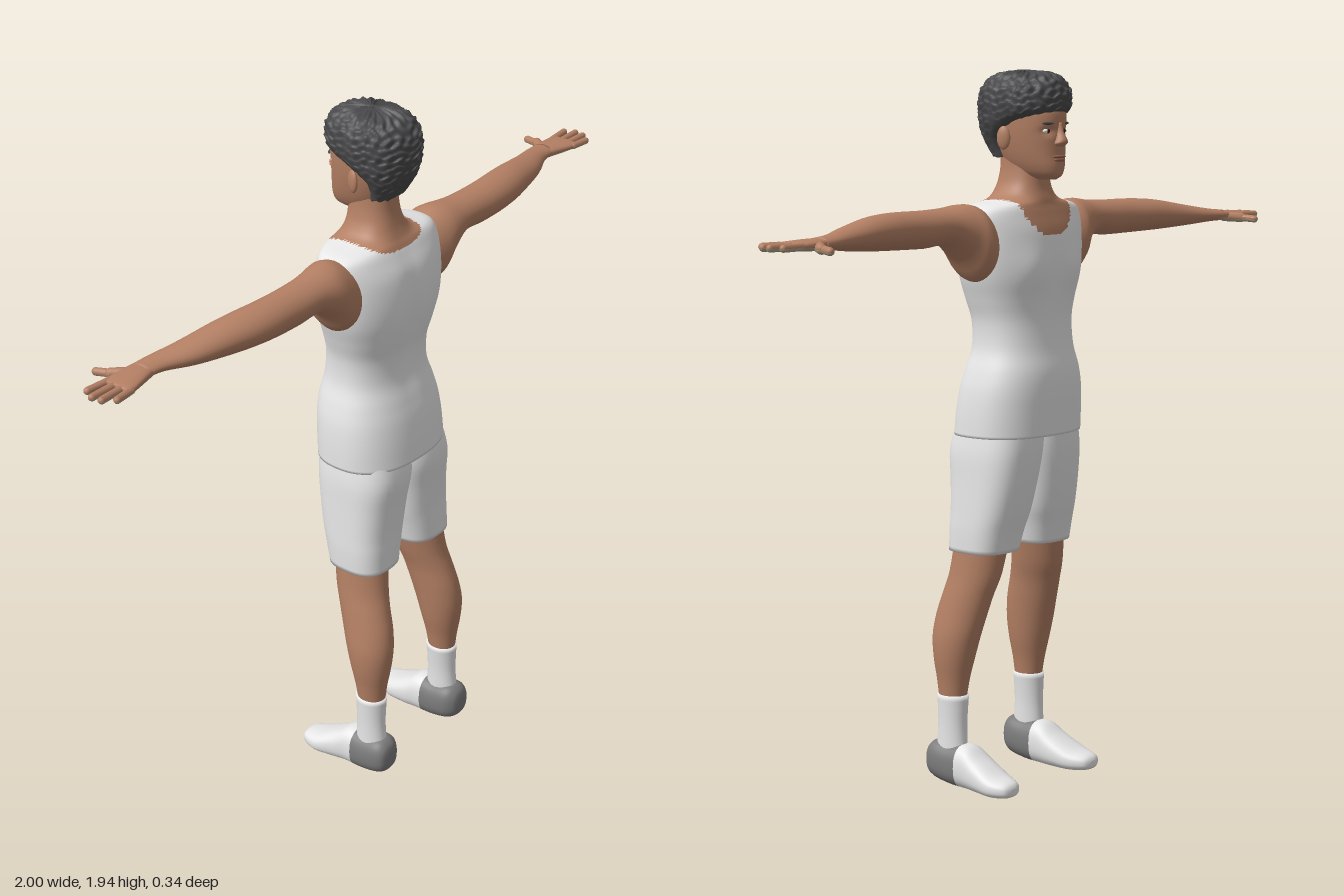
import * as THREE from 'three';

const paint = (name, color) => Object.assign(new THREE.MeshStandardMaterial({ color }), { name });
const skin = paint('skin', 0xb48064);
const palmSkin = paint('palm skin', 0xb3a28a);
const lipSkin = paint('lips', 0x94604e);
const hairMat = paint('hair', 0x49494b);
const shirtMat = paint('shirt white', 0xeeeeee);
const shortsMat = paint('shorts white', 0xe6e6e6);
const heelMat = paint('shoe heel grey', 0x7c7c7c);
const eyeWhite = paint('eye white', 0xe8e4de);
const iris = paint('iris', 0x2b1d16);

// Ring axes: t runs along the loft, u and v span each cross-section
const UP = (t, u, v) => [u, t, v];
const ALONG_X = (t, u, v) => [t, v, u];
const ALONG_Z = (t, u, v) => [v, u, t];

// Smooth closed loft through keys [t, uMin, uMax, vMin, vMax]
function loft(keys, axes, { power = 2, seg = 32, sub = 4, warp } = {}) {
  const at = i => keys[Math.min(Math.max(i, 0), keys.length - 1)];
  const spline = (i, f, k) => {
    const [a, b, c, d] = [at(i - 1)[k], at(i)[k], at(i + 1)[k], at(i + 2)[k]];
    return b + 0.5 * f * (c - a + f * (2 * a - 5 * b + 4 * c - d + f * (3 * (b - c) + d - a)));
  };
  const bend = c => Math.sign(c) * Math.abs(c) ** (2 / power);
  const pos = [], index = [], rows = (keys.length - 1) * sub;
  const push = p => pos.push(...(warp ? warp(...p) : p));
  const centers = [];
  for (let r = 0; r <= rows; r++) {
    const i = Math.min(Math.floor(r / sub), keys.length - 2), f = r / sub - i;
    const [t, u0, u1, v0, v1] = [0, 1, 2, 3, 4].map(k => spline(i, f, k));
    for (let s = 0; s < seg; s++) {
      const a = (s / seg) * Math.PI * 2;
      push(axes(t, (u0 + u1) / 2 + (u1 - u0) / 2 * bend(Math.cos(a)),
        (v0 + v1) / 2 + (v1 - v0) / 2 * bend(Math.sin(a))));
    }
    if (r === 0 || r === rows) centers.push(axes(t, (u0 + u1) / 2, (v0 + v1) / 2));
  }
  centers.forEach(push);
  const bottom = (rows + 1) * seg, last = rows * seg;
  for (let s = 0; s < seg; s++) {
    const n = (s + 1) % seg;
    for (let r = 0; r < rows; r++) {
      const a = r * seg + s, b = r * seg + n;
      index.push(a, a + seg, b, b, a + seg, b + seg);
    }
    index.push(bottom, s, n, bottom + 1, last + n, last + s);
  }
  const geo = new THREE.BufferGeometry();
  geo.setAttribute('position', new THREE.Float32BufferAttribute(pos, 3));
  geo.setIndex(index);
  geo.computeVertexNormals();
  return geo;
}

// Sort faces into two material groups by a rule on face centre and normal
function split(geo, rule) {
  const lists = [[], []], idx = geo.index.array, p = geo.attributes.position;
  const tri = new THREE.Triangle(), mid = new THREE.Vector3(), nor = new THREE.Vector3();
  for (let i = 0; i < idx.length; i += 3) {
    const f = [idx[i], idx[i + 1], idx[i + 2]];
    tri.setFromAttributeAndIndices(p, ...f);
    tri.getMidpoint(mid);
    tri.getNormal(nor);
    lists[rule(mid, nor) ? 1 : 0].push(...f);
  }
  geo.setIndex([...lists[0], ...lists[1]]);
  geo.clearGroups();
  geo.addGroup(0, lists[0].length, 0);
  geo.addGroup(lists[0].length, lists[1].length, 1);
  return geo;
}

function mirrored(geo) {
  const g = geo.clone().scale(-1, 1, 1), a = g.index.array;
  for (let i = 0; i < a.length; i += 3) [a[i], a[i + 1]] = [a[i + 1], a[i]];
  g.computeVertexNormals();
  return g;
}

const sym = keys => keys.map(([y, w, z0, z1]) => [y, -w, w, z0, z1]);
const ball = (x, y, z, rx, ry, rz) => new THREE.SphereGeometry(1, 20, 14).scale(rx, ry, rz).translate(x, y, z);

// Tapered digit between two points
function digit(from, to, r) {
  const a = new THREE.Vector3(...from), b = new THREE.Vector3(...to), d = b.clone().sub(a);
  const q = new THREE.Quaternion().setFromUnitVectors(new THREE.Vector3(0, 1, 0), d.clone().normalize());
  return new THREE.CapsuleGeometry(r, d.length() - 2 * r, 5, 12)
    .applyQuaternion(q).translate(...a.add(b).multiplyScalar(0.5).toArray());
}

export function createModel() {
  const model = new THREE.Group();
  model.name = 'standingMan';
  const add = (name, geo, mat) => {
    const m = new THREE.Mesh(geo, mat);
    m.name = name;
    model.add(m);
  };
  const pair = (name, geo, mat) => {
    add(name + 'Left', geo, mat);
    add(name + 'Right', mirrored(geo), mat);
  };

  // Torso: sleeveless shirt with a scooped neckline, running into the neck
  const bump = (x, y, cx, cy, rx, ry) => Math.exp(-(((Math.abs(x) - cx) / rx) ** 2) - ((y - cy) / ry) ** 2);
  const torso = loft(sym([
    [0.975, 0.19, -0.135, 0.142], [1.04, 0.188, -0.138, 0.135], [1.1, 0.182, -0.14, 0.125],
    [1.15, 0.17, -0.137, 0.112], [1.21, 0.152, -0.125, 0.096], [1.28, 0.152, -0.118, 0.095],
    [1.34, 0.168, -0.12, 0.108], [1.4, 0.187, -0.125, 0.118], [1.46, 0.197, -0.127, 0.118],
    [1.52, 0.201, -0.122, 0.108], [1.565, 0.2, -0.108, 0.088], [1.588, 0.175, -0.1, 0.076],
    [1.605, 0.1, -0.096, 0.066], [1.635, 0.07, -0.088, 0.054], [1.68, 0.058, -0.085, 0.044],
    [1.74, 0.056, -0.085, 0.042],
  ]), UP, {
    power: 2.4, seg: 72, sub: 6,
    warp: (x, y, z) => [x, y, z < 0
      ? z - 0.012 * bump(x, y, 0.085, 1.42, 0.06, 0.06)
      : z - 0.01 * bump(x, y, 0, 1.38, 0.03, 0.16)],
  });
  split(torso, c => c.y > 1.608 ||
    (c.x / 0.105) ** 2 + ((c.y - 1.608) / (c.z < -0.02 ? 0.1 : 0.03)) ** 2 < 1);
  add('shirtAndNeck', torso, [shirtMat, skin]);

  // Arms
  pair('arm', loft([
    [0.15, -0.07, 0.07, 1.39, 1.57], [0.2, -0.085, 0.08, 1.395, 1.592], [0.24, -0.068, 0.078, 1.45, 1.595],
    [0.3, -0.05, 0.068, 1.49, 1.588], [0.38, -0.048, 0.066, 1.487, 1.585], [0.46, -0.05, 0.065, 1.488, 1.585],
    [0.53, -0.058, 0.058, 1.49, 1.583], [0.6, -0.066, 0.042, 1.493, 1.577], [0.7, -0.08, 0.012, 1.5, 1.56],
    [0.78, -0.094, -0.025, 1.508, 1.547], [0.83, -0.098, -0.033, 1.51, 1.542],
  ], ALONG_X), skin);

  // Hands: palm, four fingers and a thumb, paler underneath
  const isPalm = (c, n) => n.y < -0.2 && c.x > 0.82;
  const hand = (name, geo) => pair(name, split(geo, isPalm), [skin, palmSkin]);
  hand('palm', loft([
    [0.81, -0.095, -0.035, 1.511, 1.54], [0.84, -0.099, -0.028, 1.51, 1.54], [0.88, -0.101, -0.018, 1.511, 1.538],
    [0.915, -0.101, -0.011, 1.513, 1.535], [0.925, -0.095, -0.018, 1.517, 1.531],
  ], ALONG_X, { power: 2.6 }));
  [[-0.091, -0.098, 0.985], [-0.067, -0.068, 1], [-0.043, -0.04, 0.996], [-0.02, -0.012, 0.972]]
    .forEach(([z0, z1, tip], i) => hand('finger' + (i + 1), digit([0.9, 1.524, z0], [tip, 1.524, z1], 0.0098)));
  hand('thumbBase', digit([0.835, 1.522, -0.07], [0.882, 1.518, -0.132], 0.014));
  hand('thumb', digit([0.868, 1.519, -0.11], [0.887, 1.514, -0.17], 0.0105));

  // Shorts
  pair('shortsLeg', loft([
    [0.66, 0.025, 0.193, -0.057, 0.12], [0.72, 0.012, 0.194, -0.07, 0.12], [0.77, 0, 0.192, -0.084, 0.12],
    [0.85, -0.012, 0.188, -0.1, 0.126], [0.93, -0.025, 0.184, -0.11, 0.134], [1.0, -0.03, 0.172, -0.11, 0.12],
  ], UP, { power: 2.7, seg: 40 }), shortsMat);

  // Legs and socks
  pair('leg', loft([
    [0.24, 0.128, 0.196, 0.06, 0.138], [0.3, 0.12, 0.203, 0.05, 0.145], [0.36, 0.108, 0.212, 0.035, 0.155],
    [0.42, 0.1, 0.214, 0.018, 0.16], [0.48, 0.093, 0.207, 0, 0.153], [0.54, 0.085, 0.199, -0.018, 0.136],
    [0.6, 0.07, 0.191, -0.036, 0.12], [0.7, 0.05, 0.183, -0.05, 0.108],
  ], UP), skin);
  pair('sock', loft([
    [0.07, 0.13, 0.2, 0.05, 0.15], [0.12, 0.13, 0.198, 0.053, 0.146],
    [0.18, 0.129, 0.198, 0.055, 0.142], [0.258, 0.122, 0.202, 0.052, 0.144],
  ], UP), shirtMat);

  // Slip-on shoes with a grey heel half
  const shoe = loft([
    [-0.128, 0.018, 0.034, 0.16, 0.185], [-0.116, 0.008, 0.048, 0.138, 0.207], [-0.07, 0.002, 0.062, 0.117, 0.222],
    [-0.01, 0.002, 0.094, 0.109, 0.217], [0.035, 0.003, 0.122, 0.11, 0.212], [0.09, 0.006, 0.122, 0.11, 0.213],
    [0.14, 0.016, 0.126, 0.114, 0.211], [0.164, 0.03, 0.112, 0.13, 0.2], [0.172, 0.05, 0.09, 0.148, 0.18],
  ], ALONG_Z, { power: 2.5, sub: 5 });
  pair('shoe', split(shoe, c => c.z > 0.06), [shirtMat, heelMat]);

  // Head, with eye sockets pressed in
  add('head', loft(sym([
    [1.656, 0.022, -0.125, -0.05], [1.668, 0.042, -0.14, 0], [1.69, 0.056, -0.144, 0.025],
    [1.72, 0.067, -0.142, 0.045], [1.76, 0.076, -0.141, 0.065], [1.8, 0.081, -0.143, 0.08],
    [1.84, 0.082, -0.138, 0.085], [1.89, 0.07, -0.11, 0.07], [1.92, 0.03, -0.06, 0.02],
  ]), UP, {
    power: 2.2, seg: 48, sub: 6,
    warp: (x, y, z) => [x, y, z < -0.06 ? z + 0.01 * bump(x, y, 0.033, 1.783, 0.018, 0.012) : z],
  }), skin);

  // Face
  add('nose', loft(sym([
    [1.742, 0.012, -0.15, -0.125], [1.75, 0.02, -0.16, -0.125], [1.76, 0.016, -0.163, -0.125],
    [1.78, 0.009, -0.153, -0.125], [1.805, 0.007, -0.146, -0.125],
  ]), UP, { seg: 20 }), skin);
  add('upperLip', ball(0, 1.716, -0.139, 0.026, 0.005, 0.008), lipSkin);
  add('lowerLip', ball(0, 1.707, -0.138, 0.022, 0.006, 0.008), lipSkin);
  pair('eye', ball(0.033, 1.783, -0.122, 0.014, 0.007, 0.009), eyeWhite);
  pair('iris', ball(0.033, 1.783, -0.128, 0.006, 0.006, 0.004), iris);
  pair('eyebrow', ball(0, 0, 0, 0.02, 0.004, 0.006).rotateY(-0.3).translate(0.035, 1.803, -0.131), hairMat);
  pair('ear', ball(0, 0, 0, 0.009, 0.031, 0.019).rotateY(0.35).translate(0.086, 1.765, -0.02), skin);

  // Short curly hair: a cap rippled into rows of curls
  add('hair', loft(sym([
    [1.715, 0.062, 0, 0.056], [1.74, 0.07, 0, 0.072], [1.77, 0.083, -0.015, 0.088], [1.805, 0.097, -0.075, 0.1],
    [1.832, 0.102, -0.138, 0.106], [1.86, 0.103, -0.149, 0.107], [1.89, 0.098, -0.146, 0.099],
    [1.917, 0.08, -0.128, 0.078], [1.934, 0.052, -0.095, 0.04], [1.939, 0.012, -0.04, 0],
  ]), UP, {
    power: 2.3, seg: 120, sub: 8,
    warp: (x, y, z) => {
      const a = Math.atan2(z + 0.025, x);
      const curl = Math.sin(a * 24 + 1.4 * Math.sin(y * 140)) + 0.7 * Math.sin(y * 330 + 2 * Math.sin(a * 9));
      const k = 1 + 0.02 * curl;
      return [x * k, y + 0.0025 * curl, (z + 0.025) * k - 0.025];
    },
  }), hairMat);

  return model;
}
